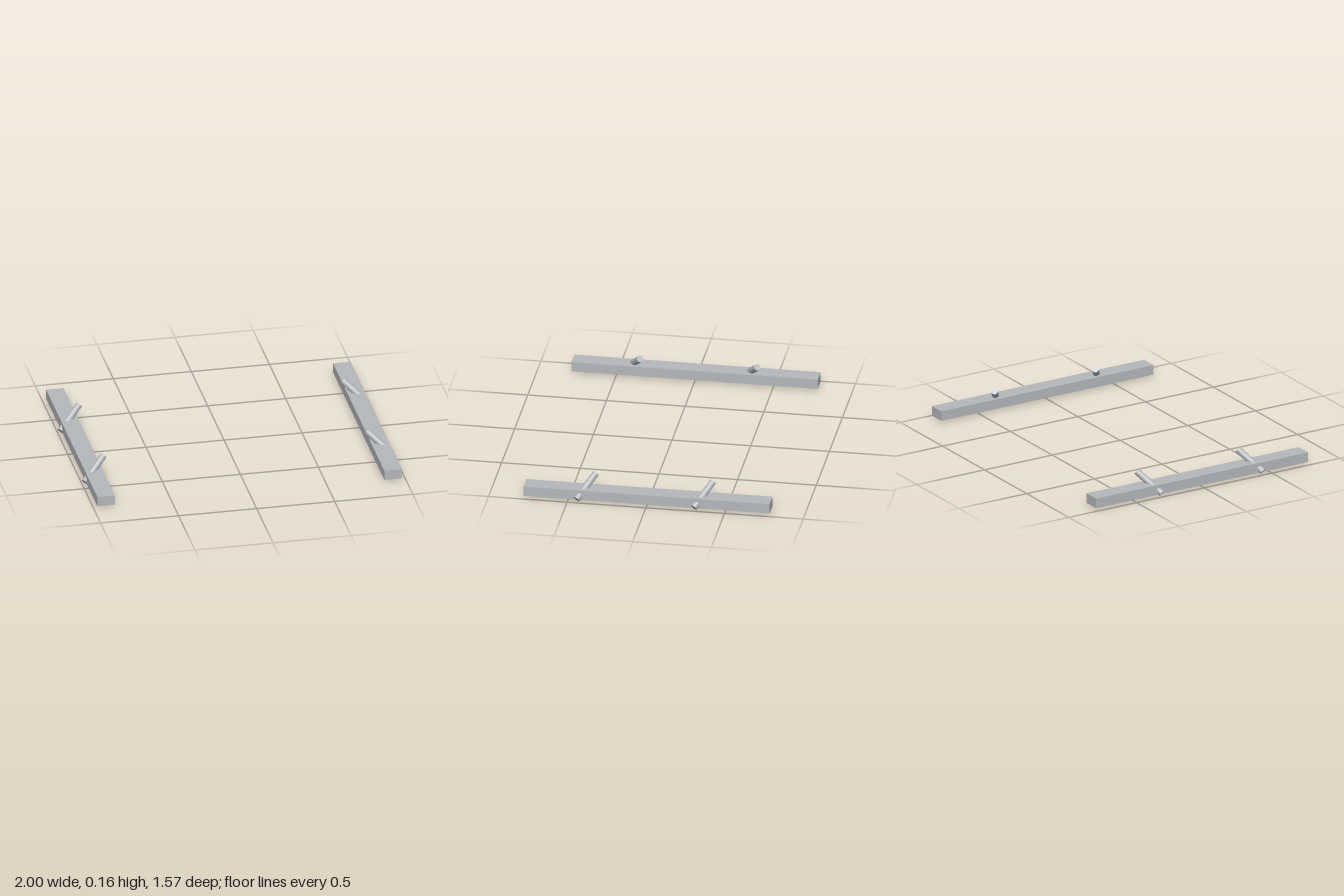
import * as THREE from 'three';

export function createModel() {
  const model = new THREE.Group();
  model.name = 'railPair';

  const steel = new THREE.MeshStandardMaterial({ color: 0xb4b8bb });
  steel.name = 'light grey steel';

  const up = new THREE.Vector3(0, 1, 0);

  // Round pin running between two points
  function pin(name, from, to, radius) {
    const axis = to.clone().sub(from);
    const mesh = new THREE.Mesh(new THREE.CylinderGeometry(radius, radius, axis.length(), 32), steel);
    mesh.name = name;
    mesh.position.copy(from).add(to).multiplyScalar(0.5);
    mesh.quaternion.setFromUnitVectors(up, axis.normalize());
    return mesh;
  }

  for (const side of [1, -1]) {
    const label = side > 0 ? 'left' : 'right';

    // Long flat rail
    const rail = new THREE.Mesh(new THREE.BoxGeometry(0.112, 0.064, 1.566), steel);
    rail.name = label + 'Rail';
    rail.position.set(side * 0.919, 0.042, 0);
    model.add(rail);

    // Slanted pins through the rail, leaning inward and backward
    for (const [place, z] of [['Front', 0.443], ['Back', -0.302]]) {
      const foot = new THREE.Vector3(side * 0.984, 0.017, z);
      const tip = new THREE.Vector3(side * 0.845, 0.14, z - 0.099);
      model.add(pin(label + place + 'Pin', foot, tip, 0.0215));
    }
  }
  return model;
}
